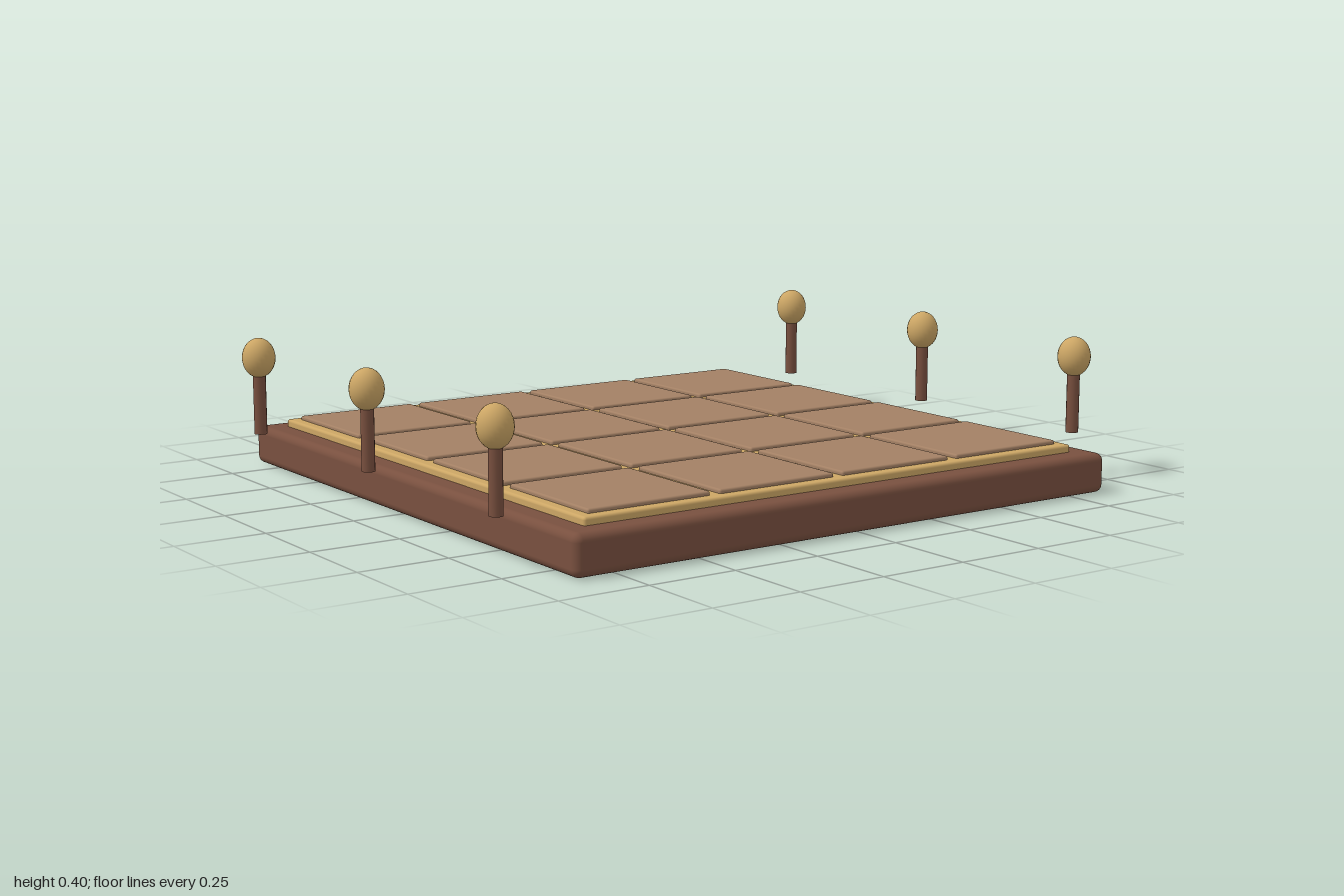
import * as THREE from 'three';
import { RoundedBoxGeometry } from 'three/addons/geometries/RoundedBoxGeometry.js';

const material = (color) => new THREE.MeshStandardMaterial({ color });

export function createModel() {
  const model = new THREE.Group();
  model.name = 'gameBoard';
  const wood = material(0x79503f);
  const gold = material(0xcca665);
  const tan = material(0xa38064);

  const add = (parent, name, geometry, mat, x, y, z) => {
    const mesh = new THREE.Mesh(geometry, mat);
    mesh.name = name;
    mesh.position.set(x, y, z);
    parent.add(mesh);
    return mesh;
  };

  // Wooden base and the gold panel that shows between the tiles
  add(model, 'base', new RoundedBoxGeometry(1.736, 0.11, 1.736, 4, 0.022), wood, 0, 0.055, 0);
  add(model, 'inlayPanel', new RoundedBoxGeometry(1.6, 0.04, 1.6, 3, 0.008), gold, 0, 0.111, 0);

  // Four by four tiles
  const tiles = new THREE.Group();
  tiles.name = 'tiles';
  model.add(tiles);
  const tileGeometry = new RoundedBoxGeometry(0.363, 0.016, 0.363, 3, 0.006);
  const pitch = 0.392;
  for (let row = 0; row < 4; row++) {
    for (let col = 0; col < 4; col++) {
      add(tiles, 'tile', tileGeometry, tan, (col - 1.5) * pitch, 0.134, (row - 1.5) * pitch);
    }
  }

  // Three posts with egg-shaped knobs along each side
  const stemGeometry = new THREE.CylinderGeometry(0.018, 0.018, 0.18, 16);
  const knobGeometry = new THREE.SphereGeometry(0.047, 24, 16).scale(1, 1.2, 1);
  for (const side of [-1, 1]) {
    for (const z of [-0.65, 0, 0.65]) {
      const post = new THREE.Group();
      post.name = side > 0 ? 'leftPost' : 'rightPost';
      post.position.set(side * 0.953, 0, z);
      add(post, 'stem', stemGeometry, wood, 0, 0.217, 0);
      add(post, 'knob', knobGeometry, gold, 0, 0.345, 0);
      model.add(post);
    }
  }
  return model;
}
